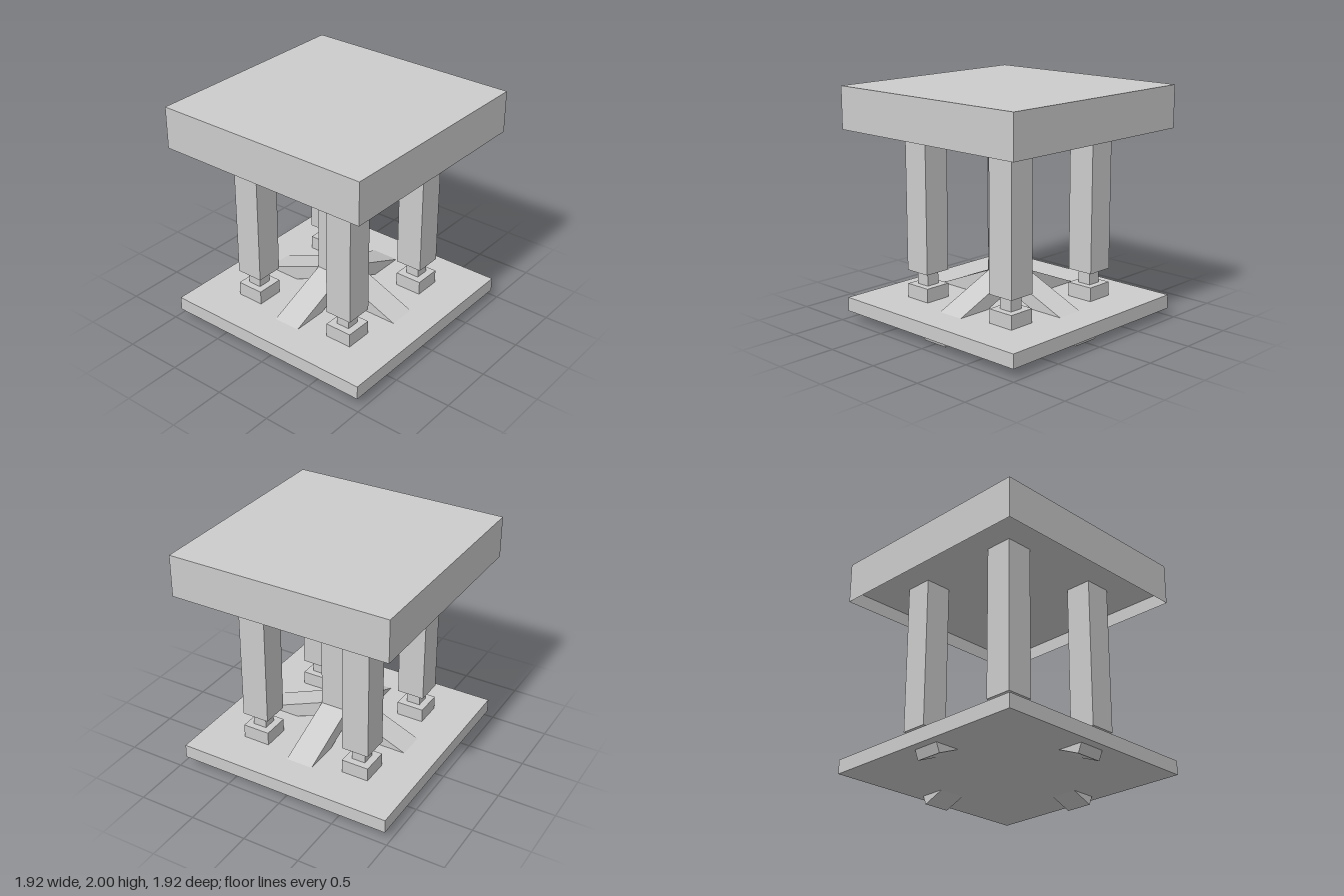
import * as THREE from 'three';

export function createModel() {
  const model = new THREE.Group();
  model.name = 'pillaredPlatform';
  const material = new THREE.MeshStandardMaterial({ color: 0xcccccc, flatShading: true });
  const thin = new THREE.MeshStandardMaterial({ color: 0xcccccc, flatShading: true, side: THREE.DoubleSide });

  // Square block of the given width between two heights
  function block(name, width, bottom, top, x = 0, z = 0) {
    const mesh = new THREE.Mesh(new THREE.BoxGeometry(width, top - bottom, width), material);
    mesh.name = name;
    mesh.position.set(x, (bottom + top) / 2, z);
    model.add(mesh);
  }

  block('basePlate', 1.92, 0.08, 0.2);
  block('topSlab', 1.92, 1.76, 2);
  block('centreColumn', 0.24, 0.2, 1.76);

  // Corner legs: foot, narrow piston and long post
  for (const x of [-0.48, 0.48]) {
    for (const z of [-0.48, 0.48]) {
      block('foot', 0.24, 0.2, 0.32, x, z);
      block('piston', 0.12, 0.32, 0.44, x, z);
      block('post', 0.24, 0.44, 1.76, x, z);
    }
  }

  for (let i = 0; i < 4; i++) {
    const side = new THREE.Group();
    side.name = 'side';
    side.rotation.y = (i * Math.PI) / 2;

    // Thin skirt hanging below the slab edge, leaving the underside recessed
    const skirt = new THREE.Mesh(new THREE.PlaneGeometry(1.92, 0.12), thin);
    skirt.name = 'slabSkirt';
    skirt.position.set(0, 1.7, 0.96);

    // Brace sloping from the centre column down through the base plate
    const brace = new THREE.Mesh(new THREE.BoxGeometry(0.24, 0.12, 0.96), material);
    brace.name = 'brace';
    brace.position.set(0, 0.24, 0.43);
    brace.rotation.x = Math.PI / 8;

    side.add(skirt, brace);
    model.add(side);
  }
  return model;
}
